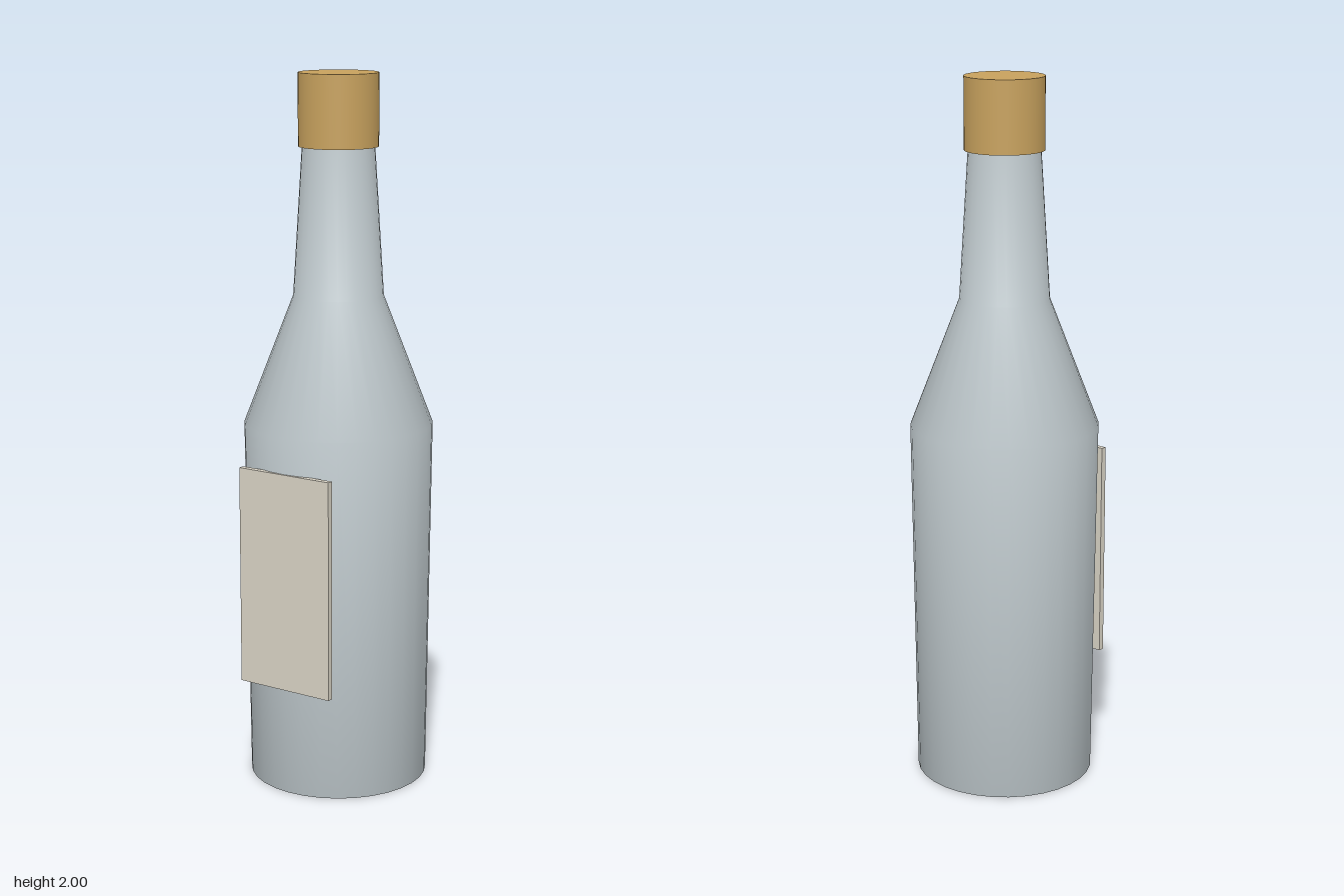
import * as THREE from 'three';

export function createModel() {
  const model = new THREE.Group();
  const material = (name, color) => {
    const m = new THREE.MeshStandardMaterial({ color });
    m.name = name;
    return m;
  };
  const glass = material('grey glass', 0xc4ced2);
  const gold = material('gold cap', 0xc8a25e);
  const paper = material('cream paper', 0xd9d3c5);

  const add = (name, geometry, mat, y, z) => {
    const mesh = new THREE.Mesh(geometry, mat);
    mesh.name = name;
    mesh.position.set(0, y, z);
    model.add(mesh);
  };

  // Base, tapered body, shoulder and neck in one smooth profile
  const profile = [[0, 0], [0.253, 0], [0.265, 1.03], [0.126, 1.39], [0.1, 1.81]]
    .map(([r, y]) => new THREE.Vector2(r, y));
  add('bottle', new THREE.LatheGeometry(profile, 32), glass, 0, -0.003);

  // Cap over the mouth
  add('cap', new THREE.CylinderGeometry(0.111, 0.111, 0.2, 32), gold, 1.9, -0.003);

  // Flat label plate touching the front
  add('label', new THREE.BoxGeometry(0.298, 0.62, 0.017), paper, 0.62, 0.2565);

  return model;
}
